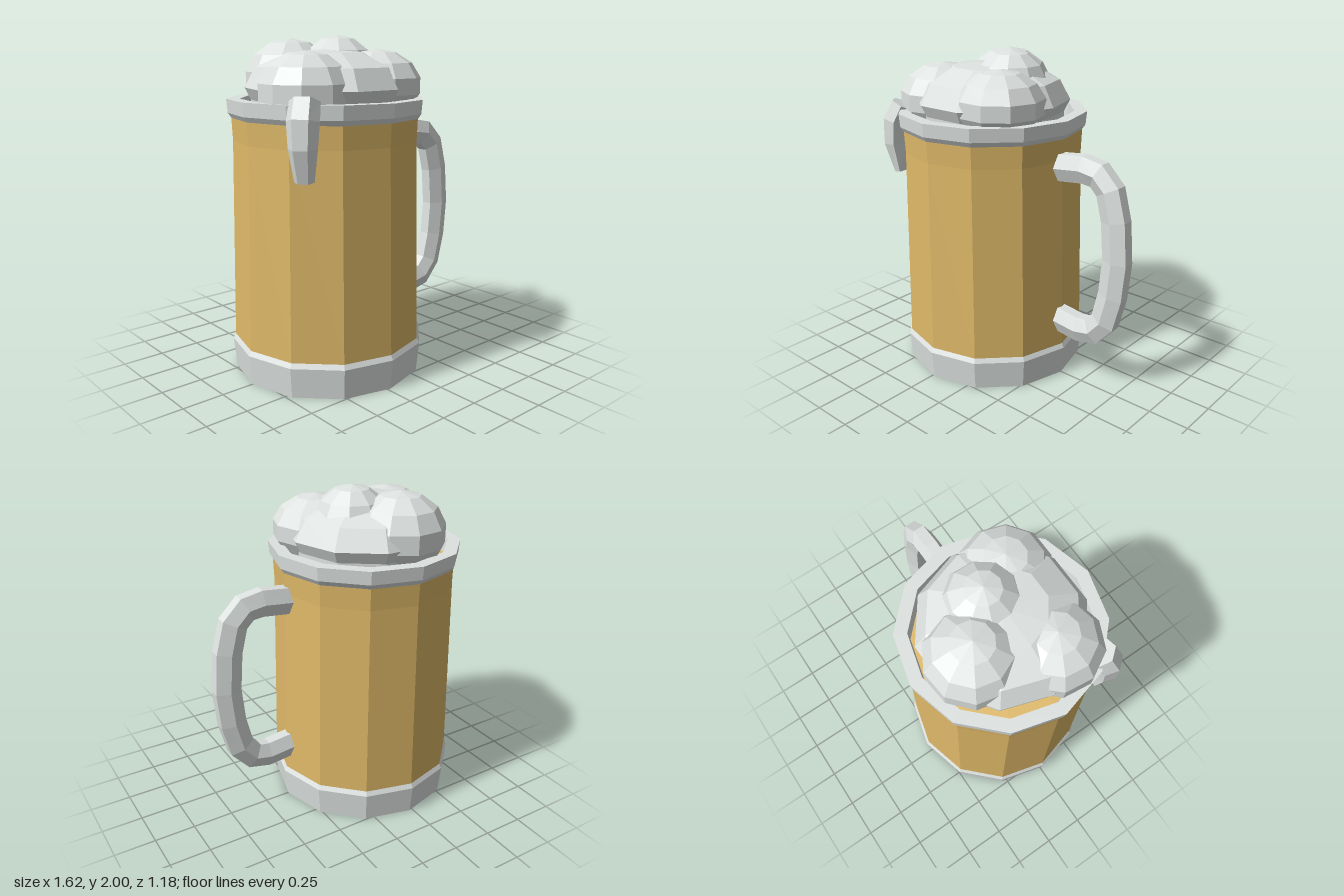
import * as THREE from 'three';

const foamGrey = new THREE.MeshStandardMaterial({ color: 0xdde2e0 });
const amber = new THREE.MeshStandardMaterial({ color: 0xdfb968 });

// Faceted mesh: one normal per face
function part(name, geometry, material) {
  const g = geometry.index ? geometry.toNonIndexed() : geometry;
  g.computeVertexNormals();
  const mesh = new THREE.Mesh(g, material);
  mesh.name = name;
  return mesh;
}

function lathe(points, sides, turn = 0) {
  return new THREE.LatheGeometry(points.map(([r, y]) => new THREE.Vector2(r, y)), sides, turn);
}

// Six-sided sweep along a path in the xy plane; each point is [x, y, half depth, half width]
function hexSweep(path) {
  const pos = [], index = [];
  const n = path.length;
  path.forEach(([x, y, depth, width], i) => {
    const a = path[Math.max(i - 1, 0)], b = path[Math.min(i + 1, n - 1)];
    const t = new THREE.Vector2(b[0] - a[0], b[1] - a[1]).normalize();
    for (let j = 0; j < 6; j++) {
      const angle = ((j + 0.5) / 6) * Math.PI * 2;
      const u = (Math.cos(angle) / Math.cos(Math.PI / 6)) * depth;
      pos.push(x - t.y * u, y + t.x * u, Math.sin(angle) * width);
    }
  });
  for (let i = 0; i < n - 1; i++) {
    for (let j = 0; j < 6; j++) {
      const k = (j + 1) % 6;
      const a = i * 6 + j, b = i * 6 + k, c = b + 6, d = a + 6;
      index.push(a, b, c, a, c, d);
    }
  }
  const e = (n - 1) * 6;
  for (let j = 1; j < 5; j++) index.push(0, j + 1, j, e, e + j, e + j + 1);
  const g = new THREE.BufferGeometry();
  g.setAttribute('position', new THREE.Float32BufferAttribute(pos, 3));
  g.setIndex(index);
  return g;
}

export function createModel() {
  const model = new THREE.Group();
  model.name = 'mug';

  // Mug body, centred left of the origin to leave room for the handle
  const mug = new THREE.Group();
  mug.name = 'mugBody';
  mug.position.x = -0.23;
  model.add(mug);

  mug.add(part('base', lathe([[0, 0], [0.57, 0], [0.588, 0.18], [0.572, 0.21], [0.5, 0.21]], 12), foamGrey));
  mug.add(part('drink', lathe([[0.573, 0.2], [0.55, 1.4], [0.556, 1.54], [0, 1.56]], 12), amber));
  mug.add(part('rim', lathe([
    [0.5, 1.53], [0.555, 1.53], [0.575, 1.56], [0.582, 1.64], [0.505, 1.64], [0.495, 1.55],
  ], 12), foamGrey));

  // Handle
  const path = [
    [0.3, 1.365], [0.48, 1.385], [0.58, 1.37], [0.66, 1.29], [0.705, 1.12], [0.725, 0.88],
    [0.705, 0.66], [0.66, 0.48], [0.58, 0.39], [0.48, 0.37], [0.3, 0.39],
  ].map(([x, y]) => [x, y, 0.08, 0.068]);
  model.add(part('handle', hexSweep(path), foamGrey));

  // Foam: a broad mound with four lumps on it
  const foam = new THREE.Group();
  foam.name = 'foam';
  model.add(foam);
  const mound = part('foamMound', lathe([
    [0.44, 1.54], [0.44, 1.63], [0.475, 1.7], [0.41, 1.82], [0.24, 1.9], [0, 1.92],
  ], 10, Math.PI / 10), foamGrey);
  mound.position.x = -0.23;
  foam.add(mound);

  const lumps = [
    // x, y, z, radius, half height, turn
    [-0.31, 1.73, -0.24, 0.275, 0.25, 0.1],
    [-0.11, 1.77, -0.04, 0.235, 0.23, 0.3],
    [-0.49, 1.69, 0.15, 0.275, 0.225, 0.2],
    [0.0, 1.71, 0.18, 0.27, 0.21, 0],
  ];
  lumps.forEach(([x, y, z, r, h, turn], i) => {
    const lump = part('foamLump' + (i + 1), new THREE.SphereGeometry(1, 10, 7), foamGrey);
    lump.scale.set(r, h, r);
    lump.position.set(x, y, z);
    lump.rotation.y = turn;
    foam.add(lump);
  });

  // Foam running over the rim at the front right corner
  const drip = part('foamDrip', hexSweep([
    [0.55, 1.66, 0.065, 0.085], [0.6, 1.56, 0.07, 0.09],
    [0.61, 1.42, 0.062, 0.08], [0.585, 1.24, 0.035, 0.055],
  ]), foamGrey);
  drip.position.x = -0.23;
  drip.rotation.y = Math.PI + 0.69;
  foam.add(drip);

  return model;
}
